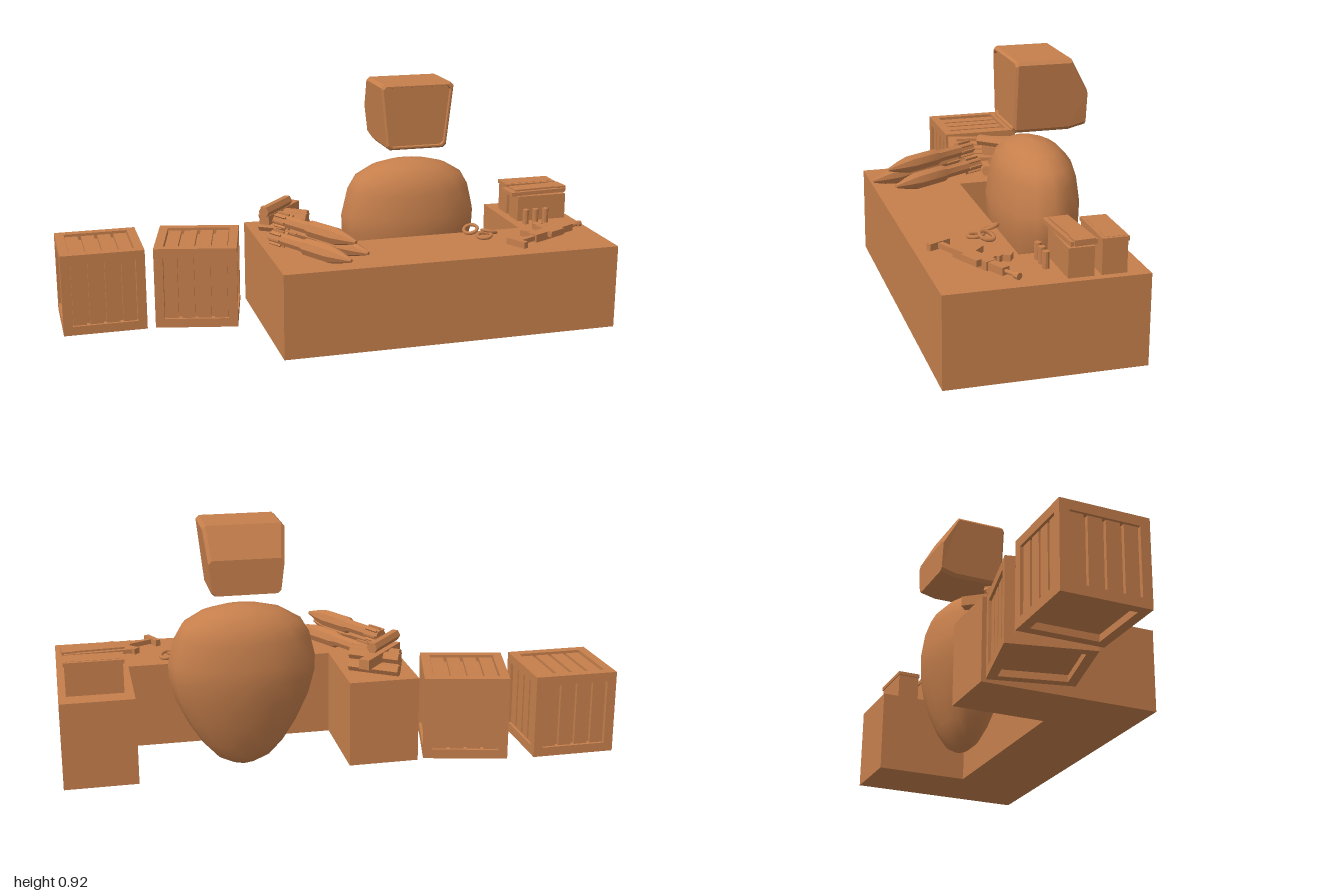
import * as THREE from 'three';
import { toCreasedNormals } from 'three/addons/utils/BufferGeometryUtils.js';

export function createModel() {
  const model = new THREE.Group();
  const copper = new THREE.MeshStandardMaterial({ color: 0xc67f4c });
  copper.name = 'copper brown';

  const add = (parent, name, geo, x = 0, y = 0, z = 0) => {
    const mesh = new THREE.Mesh(geo, copper);
    mesh.name = name;
    mesh.position.set(x, y, z);
    parent.add(mesh);
    return mesh;
  };
  const box = (parent, name, w, h, d, x, y, z) =>
    add(parent, name, new THREE.BoxGeometry(w, h, d), x, y, z);
  const group = (name, x, y, z, turn = 0) => {
    const g = new THREE.Group();
    g.name = name;
    g.position.set(x, y, z);
    g.rotation.y = turn;
    model.add(g);
    return g;
  };
  const faceted = geo => toCreasedNormals(geo, 0.4);

  // U-shaped counter, open to the back
  const plan = new THREE.Shape([
    [-0.27, -0.37], [1, -0.37], [1, 0.305], [0.74, 0.305],
    [0.74, -0.05], [-0.015, -0.05], [-0.015, 0.305], [-0.27, 0.305],
  ].map(p => new THREE.Vector2(...p)));
  const counter = new THREE.ExtrudeGeometry(plan, { depth: 0.315, bevelEnabled: false });
  counter.rotateX(-Math.PI / 2);
  add(model, 'counter', counter, 0, 0.038, 0);

  // Egg-shaped body, flattened front to back
  const bodyProfile = [[0, 0.004], [0.17, 0.017], [0.36, 0.042], [0.56, 0.1], [0.75, 0.18],
    [0.91, 0.27], [0.99, 0.35], [1, 0.41], [0.92, 0.5], [0.8, 0.555], [0.55, 0.595],
    [0.28, 0.613], [0, 0.62]].map(p => new THREE.Vector2(...p));
  const body = add(model, 'body', new THREE.LatheGeometry(bodyProfile, 16), 0.342, 0, -0.12);
  body.scale.set(0.268, 1, 0.152);

  // Head: chamfered rectangles lofted front to back, narrower at the bottom
  const ring = (z, inset, y0, y1, c = 0.012) => {
    const a = y0 + inset, b = y1 - inset;
    const half = y => 0.118 + (y - 0.675) * 0.1 - inset;
    const right = [[half(a) - c, a], [half(a), a + c], [half(b), b - c], [half(b) - c, b]];
    const left = right.map(([x, y]) => [-x, y]).reverse();
    return [...right, ...left].map(([x, y]) => [x, y, z]);
  };
  const rings = [ring(-0.024, 0.014, 0.675, 0.925), ring(-0.015, 0.012, 0.675, 0.925),
    ring(-0.015, 0.007, 0.675, 0.925), ring(-0.024, 0, 0.675, 0.925),
    ring(-0.21, 0, 0.675, 0.925), ring(-0.27, 0, 0.69, 0.815)];
  const points = [];
  const n = 8;
  for (let r = 0; r < rings.length - 1; r++) {
    for (let i = 0; i < n; i++) {
      const j = (i + 1) % n, f = rings[r], b = rings[r + 1];
      points.push(...f[i], ...b[i], ...b[j], ...f[i], ...b[j], ...f[j]);
    }
  }
  const last = rings[rings.length - 1];
  for (let i = 1; i < n - 1; i++) {
    points.push(...rings[0][0], ...rings[0][i], ...rings[0][i + 1]);
    points.push(...last[0], ...last[i + 1], ...last[i]);
  }
  const head = new THREE.BufferGeometry();
  head.setAttribute('position', new THREE.Float32BufferAttribute(points, 3));
  head.computeVertexNormals();
  add(model, 'head', head, 0.342, 0, 0);

  // Crates: edge frame, recessed core, four slats on every side but the bottom
  const crate = (x, z, turn) => {
    const g = group('crate', x, 0.193, z, turn);
    const s = 0.308, t = 0.034, e = (s - t) / 2, inner = s - 2 * t;
    box(g, 'crateCore', s - 0.05, s - 0.05, s - 0.05, 0, 0, 0);
    for (const a of [-e, e]) for (const b of [-e, e]) {
      box(g, 'crateRail', s, t, t, 0, a, b);
      box(g, 'cratePost', t, inner, t, a, 0, b);
      box(g, 'crateCrossRail', t, t, inner, a, b, 0);
    }
    const turns = [[0, 0], [0, Math.PI / 2], [0, Math.PI], [0, -Math.PI / 2], [-Math.PI / 2, 0]];
    for (const [rx, ry] of turns) {
      const side = new THREE.Group();
      side.name = 'crateSide';
      side.rotation.set(rx, ry, 0);
      g.add(side);
      for (let i = 0; i < 4; i++)
        box(side, 'crateSlat', 0.049, inner, 0.02, (i - 1.5) * 0.0615, 0, 0.134);
    }
  };
  crate(-0.846, -0.22, 0);
  crate(-0.477, -0.182, -0.225);

  // Three rockets stacked on the counter
  const rocketProfile = [[0, -0.2], [0.024, -0.2], [0.024, -0.03], [0.033, -0.01],
    [0.033, 0.11], [0.022, 0.16], [0.006, 0.215], [0, 0.215]].map(p => new THREE.Vector2(...p));
  const rocketGeo = faceted(new THREE.LatheGeometry(rocketProfile, 8).rotateX(Math.PI / 2));
  const rockets = group('rockets', -0.095, 0, 0.145, 0.5);
  for (const [x, y, z] of [[-0.052, 0.386, 0.02], [0.052, 0.386, 0], [0, 0.436, -0.01]]) {
    add(rockets, 'rocket', rocketGeo, x, y, z);
    for (let i = 0; i < 4; i++) {
      const fin = box(rockets, 'rocketFin', 0.006, 0.062, 0.06, x, y, z - 0.165);
      fin.rotation.z = i * Math.PI / 4;
    }
  }

  // Pile of six-sided sticks with bars laid across
  const stickGeo = faceted(new THREE.CylinderGeometry(0.021, 0.021, 0.19, 6).rotateZ(Math.PI / 2));
  const sticks = group('stickPile', -0.14, 0, -0.17, -0.6);
  for (const [z, y] of [[-0.045, 0.374], [0, 0.374], [0.045, 0.374], [-0.022, 0.412], [0.022, 0.412]])
    add(sticks, 'stick', stickGeo, z * 0.3, y, z);
  const bars = group('crossBars', -0.15, 0, -0.2, 0.85);
  box(bars, 'longBar', 0.25, 0.036, 0.04, 0, 0.415, 0);
  add(bars, 'upperStick', stickGeo, -0.05, 0.453, 0.01);

  // Two lidded boxes
  box(model, 'boxBody', 0.2, 0.112, 0.084, 0.873, 0.407, -0.19);
  box(model, 'boxLid', 0.21, 0.014, 0.09, 0.873, 0.468, -0.19);
  box(model, 'lidPanel', 0.19, 0.006, 0.066, 0.873, 0.473, -0.19);
  box(model, 'boxBody', 0.2, 0.1, 0.086, 0.873, 0.402, -0.08);
  const tiltedLid = group('tiltedLid', 0.855, 0.465, -0.08, 0.07);
  box(tiltedLid, 'boxLid', 0.235, 0.015, 0.09, 0, 0, 0);
  box(tiltedLid, 'lidStrip', 0.19, 0.008, 0.062, 0, 0.01, 0);
  box(tiltedLid, 'lidClasp', 0.045, 0.02, 0.07, 0.102, 0.004, 0);

  // Three small upright cartridges
  for (const x of [0.79, 0.83, 0.872])
    add(model, 'cartridge', faceted(new THREE.CylinderGeometry(0.012, 0.012, 0.06, 10)), x, 0.38, 0.002);

  // Loose rings
  for (const [x, y, z, tilt] of [[0.527, 0.375, 0.085, 0.3], [0.59, 0.37, 0.115, -0.25], [0.56, 0.365, 0.145, 0.1]]) {
    const loop = add(model, 'looseRing', new THREE.TorusGeometry(0.026, 0.007, 6, 14), x, y, z);
    loop.rotation.set(Math.PI / 2 + tilt, tilt, 0);
  }

  // Rifle lying on its side
  const rifle = group('rifle', 0.79, 0.373, 0.205, 0.47);
  box(rifle, 'receiver', 0.16, 0.03, 0.042, -0.01, 0, 0);
  box(rifle, 'handguard', 0.07, 0.026, 0.03, 0.1, 0, 0);
  const barrel = (name, r, length, x) => add(rifle, name,
    faceted(new THREE.CylinderGeometry(r, r, length, 8).rotateZ(Math.PI / 2)), x, 0, 0);
  barrel('barrel', 0.007, 0.06, 0.16);
  barrel('muzzle', 0.012, 0.018, 0.187);
  box(rifle, 'stockBar', 0.09, 0.018, 0.018, -0.13, 0, 0.004);
  box(rifle, 'stockButt', 0.02, 0.024, 0.085, -0.18, 0, 0.004);
  box(rifle, 'grip', 0.028, 0.022, 0.06, -0.055, 0, -0.045).rotation.y = 0.35;
  for (let i = 0; i < 3; i++)
    box(rifle, 'magazine', 0.032, 0.022, 0.034, 0.028 + i * i * 0.005, 0, -0.034 - i * 0.027)
      .rotation.y = 0.12 + i * 0.2;
  box(rifle, 'sight', 0.075, 0.022, 0.02, 0.01, 0.008, 0.032);

  return model;
}
